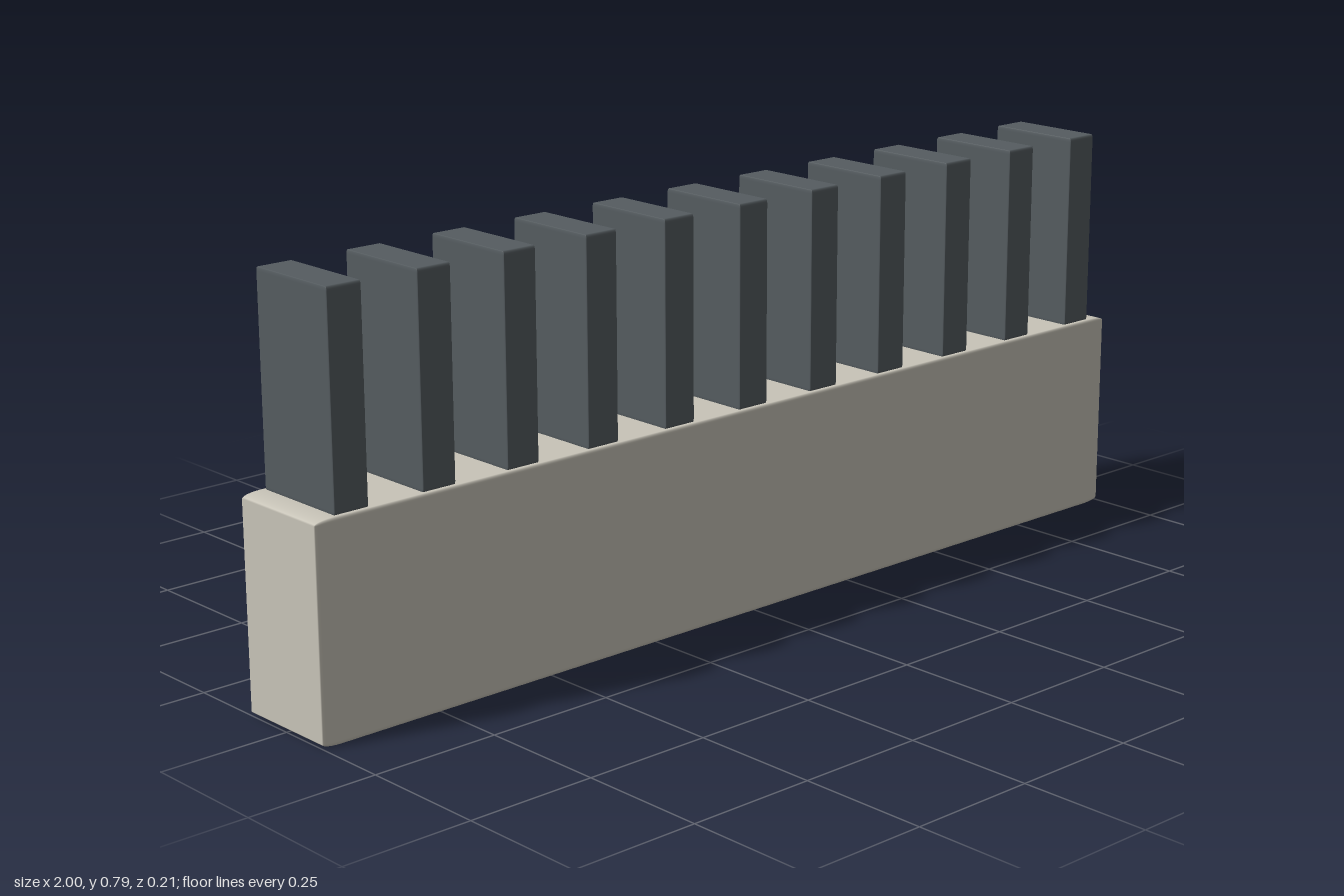
import * as THREE from 'three';
import { RoundedBoxGeometry } from 'three/addons/geometries/RoundedBoxGeometry.js';

export function createModel() {
  const group = new THREE.Group();
  const stone = new THREE.MeshStandardMaterial({ color: 0xc8c4b8 });
  stone.name = 'paleStone';
  const slate = new THREE.MeshStandardMaterial({ color: 0x555c60 });
  slate.name = 'darkSlate';

  // softly bevelled unit block, stretched to size and stood on y
  const unit = new RoundedBoxGeometry(1, 1, 1, 3, 0.02);
  const block = (name, material, w, h, d, x, y) => {
    const geometry = unit.clone().scale(w, h, d);
    const mesh = new THREE.Mesh(geometry, material);
    mesh.name = name;
    mesh.position.set(x, y + h / 2, 0);
    group.add(mesh);
  };

  // long low base
  block('base', stone, 2, 0.4, 0.214, 0, 0);

  // row of upright fins
  const count = 11;
  const spacing = 0.184;
  for (let i = 0; i < count; i++) {
    const x = (i - (count - 1) / 2) * spacing;
    block(`fin${i + 1}`, slate, 0.07, 0.39, 0.197, x, 0.398);
  }

  return group;
}
